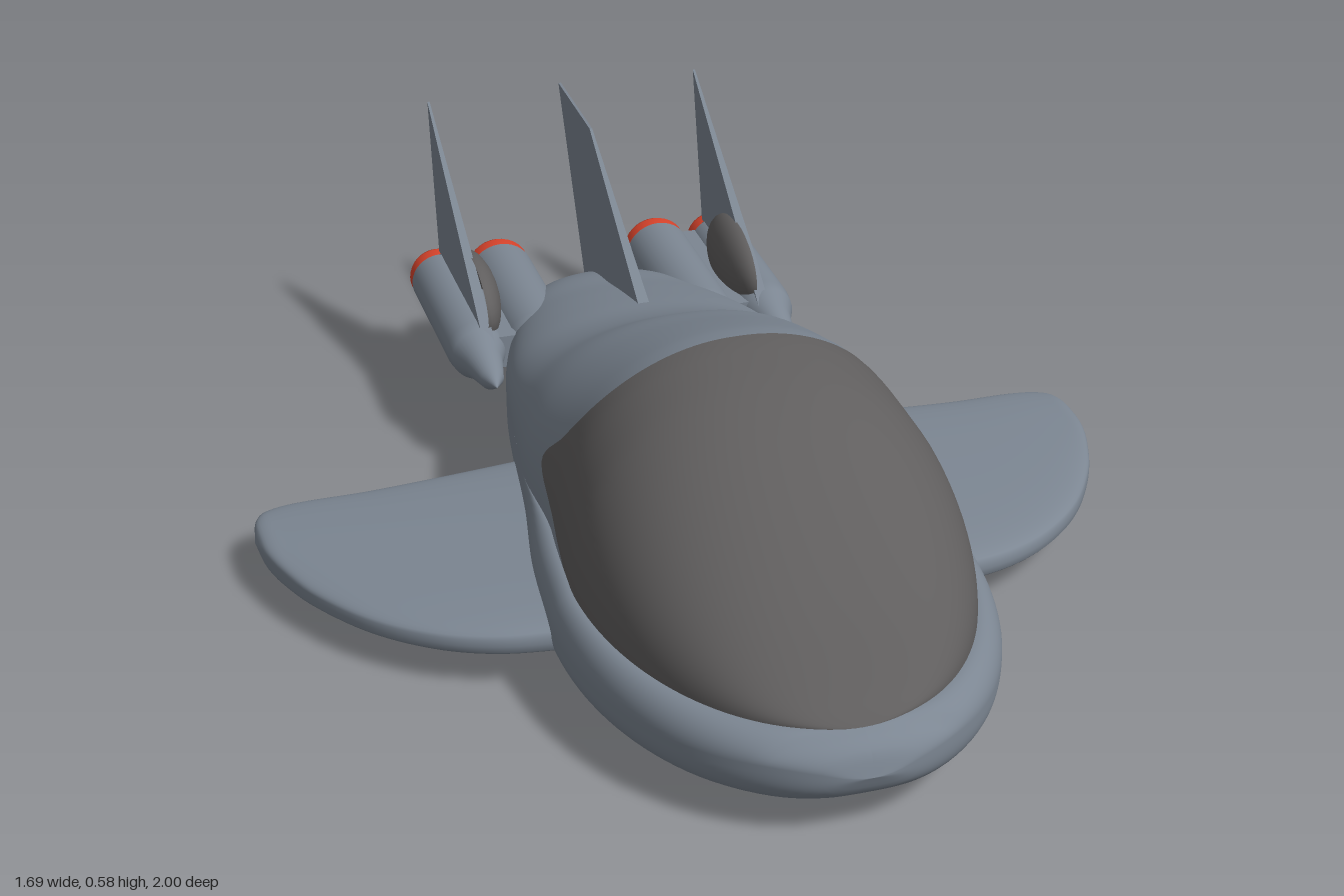
import * as THREE from 'three';

const mat = (name, color, side = THREE.FrontSide) => {
  const m = new THREE.MeshStandardMaterial({ color, side });
  m.name = name;
  return m;
};

// Smooth curve through [position, value] pairs
function curve(pts) {
  const slope = i => {
    const a = pts[Math.max(i - 1, 0)], b = pts[Math.min(i + 1, pts.length - 1)];
    return (b[1] - a[1]) / (b[0] - a[0]);
  };
  return x => {
    if (x <= pts[0][0]) return pts[0][1];
    if (x >= pts[pts.length - 1][0]) return pts[pts.length - 1][1];
    let i = 0;
    while (x > pts[i + 1][0]) i++;
    const d = pts[i + 1][0] - pts[i][0], t = (x - pts[i][0]) / d, s = 1 - t;
    return pts[i][1] * s * s * (1 + 2 * t) + pts[i + 1][1] * t * t * (3 - 2 * t)
      + d * (slope(i) * t * s * s - slope(i + 1) * t * t * s);
  };
}

// Surface grid from fn(u, v) -> [x, y, z]
function surface(fn, nu, nv) {
  const pos = [], idx = [];
  for (let j = 0; j <= nv; j++)
    for (let i = 0; i <= nu; i++) pos.push(...fn(i / nu, j / nv));
  for (let j = 0; j < nv; j++)
    for (let i = 0; i < nu; i++) {
      const a = j * (nu + 1) + i, b = a + 1, c = a + nu + 1;
      idx.push(a, b, c, b, c + 1, c);
    }
  const g = new THREE.BufferGeometry();
  g.setAttribute('position', new THREE.Float32BufferAttribute(pos, 3));
  g.setIndex(idx);
  g.computeVertexNormals();
  return g;
}

const pow = (v, n) => Math.pow(Math.max(v, 0), n);
const spow = (v, n) => Math.sign(v) * pow(Math.abs(v), n);

// Hull outline and profiles along z
const aftWidth = curve([[-0.8, 0], [-0.79, 0.07], [-0.76, 0.125], [-0.7, 0.165], [-0.6, 0.21],
  [-0.4, 0.28], [-0.2, 0.315], [0, 0.345], [0.2, 0.382], [0.4, 0.4]]);
const width = z => z < 0.4 ? aftWidth(z) : 0.4 * pow(1 - pow((z - 0.4) / 0.6, 2.1), 0.5);
const domeWidth = z => z < 0.4
  ? Math.max(width(z) - 0.04 * THREE.MathUtils.smoothstep(z, -0.05, 0.2), 0)
  : 0.36 * pow(1 - pow((z - 0.4) / 0.545, 2), 0.5);
const bottom = curve([[-0.8, 0.15], [-0.77, 0.1], [-0.6, 0.066], [-0.4, 0.04], [-0.2, 0.02], [0, 0.01],
  [0.4, 0], [0.6, 0.01], [0.8, 0.03], [0.9, 0.05], [0.95, 0.068], [0.985, 0.095], [1, 0.13]]);
const rim = curve([[-0.8, 0.17], [-0.6, 0.2], [0, 0.2], [0.9, 0.2], [0.95, 0.195], [0.985, 0.17], [1, 0.13]]);
const domeHeight = curve([[-0.8, 0], [-0.79, 0.03], [-0.76, 0.055], [-0.7, 0.075], [-0.6, 0.09], [-0.5, 0.115],
  [-0.4, 0.14], [-0.3, 0.165], [-0.2, 0.205], [-0.1, 0.26], [0, 0.3], [0.1, 0.34], [0.2, 0.375], [0.25, 0.384],
  [0.3, 0.38], [0.4, 0.362], [0.5, 0.328], [0.6, 0.277], [0.7, 0.212], [0.8, 0.133], [0.9, 0.038], [0.945, 0]]);
// Canopy rear edge by elevation around the dome
const seam = curve([[0, 0.32], [0.07, 0.15], [0.14, 0.085], [0.2, 0.09], [0.3, 0.15], [0.5, 0.215], [0.7, 0.24], [1, 0.243]]);

function domePoint(u, z) {
  const a = u * Math.PI;
  return [domeWidth(z) * spow(Math.cos(a), 0.91), rim(z) + domeHeight(z) * pow(Math.sin(a), 0.91), z];
}
const seamAt = u => seam(1 - Math.abs(2 * u - 1));

// Lower hull: rounded lip, then a broad flattened belly
function bellyPoint(u, v) {
  const z = 0.1 - 0.9 * Math.cos(v * Math.PI);
  const p = 1 - Math.abs(2 * u - 1), side = u < 0.5 ? -1 : 1;
  const w = width(z), d = domeWidth(z), b = bottom(z), r = rim(z), mid = b * 0.35 + r * 0.65;
  if (p < 0.35) {
    const k = p / 0.35 * Math.PI / 2;
    return [side * (d + (w - d) * Math.sin(k)), mid + (r - mid) * Math.cos(k), z];
  }
  const k = (p - 0.35) / 0.65 * Math.PI / 2;
  return [side * w * pow(Math.cos(k), 0.64), mid - (mid - b) * pow(Math.sin(k), 0.64), z];
}

// Wing: rounded slab sections from root to tip
const leading = curve([[0.25, 0.42], [0.4, 0.4], [0.5, 0.375], [0.6, 0.32], [0.7, 0.225], [0.78, 0.1], [0.82, 0], [0.838, -0.07], [0.845, -0.13]]);
const trailing = curve([[0.25, -0.22], [0.6, -0.22], [0.75, -0.23], [0.81, -0.218], [0.835, -0.185], [0.845, -0.13]]);
const wingTop = curve([[0.25, 0.15], [0.4, 0.138], [0.8, 0.108], [0.835, 0.1], [0.845, 0.08]]);
const wingBase = curve([[0.25, 0.06], [0.4, 0.058], [0.8, 0.052], [0.835, 0.058], [0.845, 0.08]]);
function wingPoint(u, v) {
  const x = 0.25 + 0.595 * Math.sin(v * Math.PI / 2), t = u * Math.PI * 2;
  const f = leading(x), r = trailing(x), hi = wingTop(x), lo = wingBase(x);
  return [x, (hi + lo) / 2 + (hi - lo) / 2 * spow(Math.sin(t), 0.5), (f + r) / 2 - (f - r) / 2 * spow(Math.cos(t), 0.75)];
}

// Thin fin from [z, y] corners, narrowing toward the top
function finGeometry(corners, thickness) {
  const shape = new THREE.Shape(corners.map(([z, y]) => new THREE.Vector2(-z, y)));
  const g = new THREE.ExtrudeGeometry(shape, { depth: thickness, bevelEnabled: false });
  g.translate(0, 0, -thickness / 2).rotateY(Math.PI / 2);
  const p = g.attributes.position;
  for (let i = 0; i < p.count; i++)
    p.setX(i, p.getX(i) * (1 - 0.8 * THREE.MathUtils.smoothstep(p.getY(i), 0.25, 0.57)));
  g.computeVertexNormals();
  return g;
}

// Lathe along z from [radius, z] points
const turned = pts => new THREE.LatheGeometry(pts.map(([r, z]) => new THREE.Vector2(r, z)), 32).rotateX(Math.PI / 2);

export function createModel() {
  const hull = mat('hull grey', 0x7c8692, THREE.DoubleSide);
  const glass = mat('dark canopy', 0x605e5e, THREE.DoubleSide);
  const red = mat('nozzle red', 0xd8432b, THREE.DoubleSide);
  const model = new THREE.Group();
  model.name = 'spacecraft';
  const add = (parent, name, geometry, material) => {
    const m = new THREE.Mesh(geometry, material);
    m.name = name;
    parent.add(m);
    return m;
  };

  // Body
  add(model, 'lowerHull', surface(bellyPoint, 80, 90), hull);
  add(model, 'upperBody', surface((u, v) => domePoint(u, -0.8 + (seamAt(u) + 0.8) * (1 - Math.cos(v * Math.PI / 2))), 80, 50), hull);
  add(model, 'canopy', surface((u, v) => {
    const s = seamAt(u);
    return domePoint(u, s + (0.945 - s) * Math.sin(v * Math.PI / 2));
  }, 80, 40), glass);
  add(model, 'centreFin', finGeometry([[-0.35, 0.34], [-0.75, 0.568], [-1, 0.568], [-0.76, 0.2], [-0.5, 0.25]], 0.028), hull);

  // Each side: wing, two engines and a fin
  for (const side of [1, -1]) {
    const half = new THREE.Group();
    half.name = side > 0 ? 'leftSide' : 'rightSide';
    half.scale.x = side;
    model.add(half);
    add(half, 'wing', surface(wingPoint, 48, 40), hull);
    add(half, 'sideFin', finGeometry([[-0.45, 0.22], [-0.57, 0.31], [-0.975, 0.572], [-0.87, 0.23]], 0.024), hull).position.x = 0.292;

    for (const [name, x, y, r] of [['innerEngine', 0.175, 0.205, 0.07], ['outerEngine', 0.308, 0.21, 0.06]]) {
      const engine = new THREE.Group();
      engine.name = name;
      engine.position.set(x, y, 0);
      half.add(engine);
      add(engine, 'enginePod', turned([[0, -0.872], [r * 0.9, -0.872], [r, -0.862], [r, -0.54], [r * 0.93, -0.51],
        [r * 0.65, -0.47], [r * 0.4, -0.4], [0, -0.36]]), hull);
      add(engine, 'nozzleRing', turned([[r * 0.62, -0.873], [r * 0.66, -0.895], [r * 0.76, -0.902], [r * 0.92, -0.9],
        [r * 0.98, -0.89], [r * 0.96, -0.868]]), red);
      add(engine, 'nozzleCore', turned([[0, -0.888], [r * 0.25, -0.88], [r * 0.64, -0.875]]), glass);
    }
    // Web between the two pods
    const web = add(half, 'podWeb', new THREE.BoxGeometry(0.12, 0.07, 0.36), hull);
    web.position.set(0.242, 0.21, -0.685);
    // Dark fairing on the inner fin root
    const patch = add(half, 'finRootFairing', new THREE.SphereGeometry(1, 20, 14, -Math.PI / 2, Math.PI), glass);
    patch.scale.set(0.05, 0.085, 0.14);
    patch.position.set(0.286, 0.275, -0.65);
  }
  return model;
}
